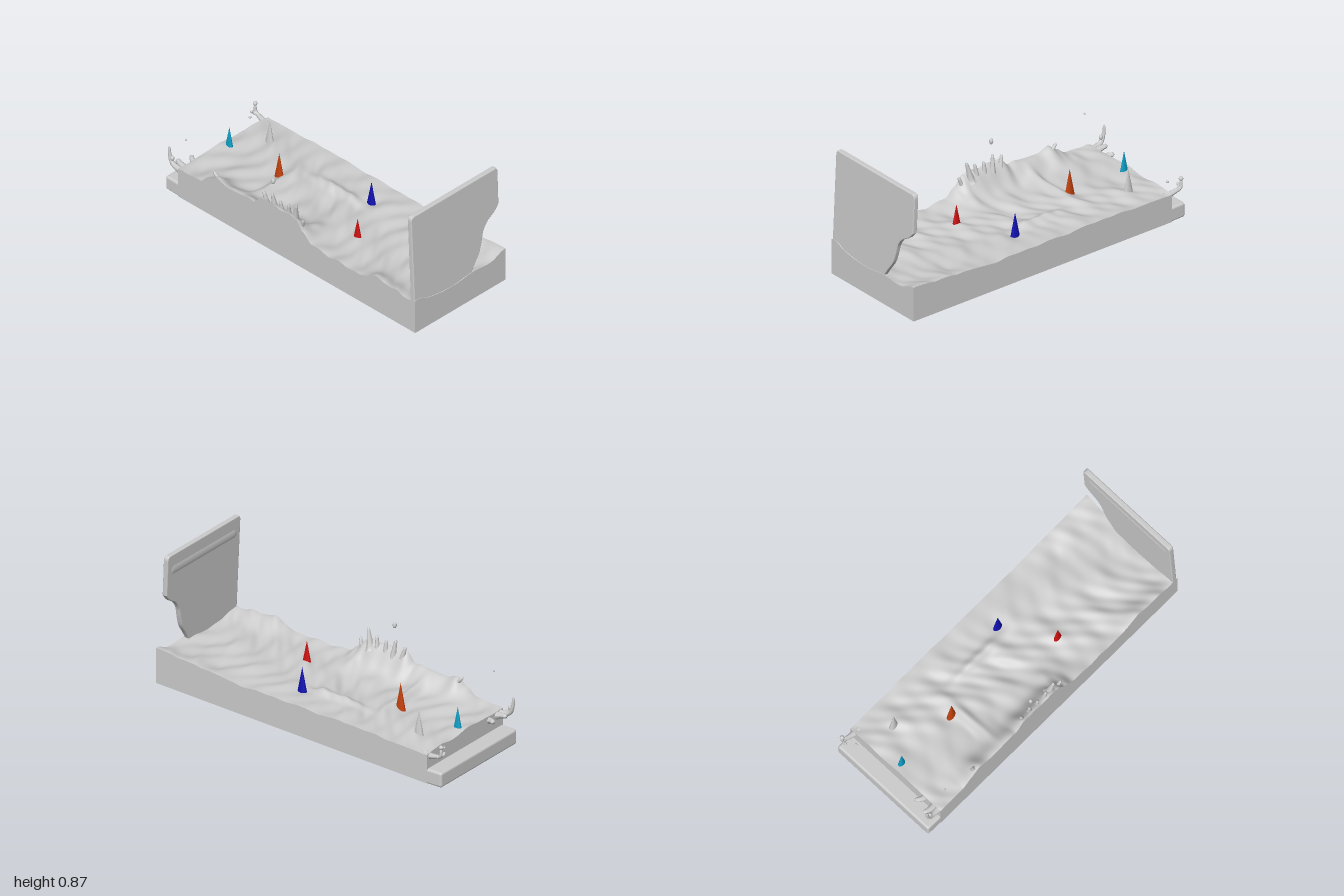
import * as THREE from 'three';
import { RoundedBoxGeometry } from 'three/addons/geometries/RoundedBoxGeometry.js';

const grey = new THREE.MeshStandardMaterial({ color: 0xcccccc, side: THREE.DoubleSide });

// Edge height profiles along z: [z, y]
const leftEdge = [[-0.9, 0.2], [-0.72, 0.23], [-0.65, 0.27], [-0.58, 0.31], [-0.45, 0.29], [-0.3, 0.3],
  [-0.23, 0.37], [-0.1, 0.36], [0, 0.38], [0.04, 0.36], [0.1, 0.29], [0.17, 0.25], [0.4, 0.245],
  [0.55, 0.26], [0.7, 0.305], [0.85, 0.295], [1, 0.3]];
const rightEdge = [[-0.9, 0.195], [-0.2, 0.225], [0.4, 0.24], [0.65, 0.265], [0.9, 0.29], [1, 0.3]];

function sample(table, z) {
  for (let i = 1; i < table.length; i++) {
    const [z0, y0] = table[i - 1], [z1, y1] = table[i];
    if (z <= z1) return y0 + (y1 - y0) * THREE.MathUtils.smoothstep(z, z0, z1);
  }
  return table[table.length - 1][1];
}

const floorY = (z) => 0.045 + 0.035 * z;
const bump = (x, z, cx, cz, rx, rz) => Math.exp(-(((x - cx) / rx) ** 2) - ((z - cz) / rz) ** 2);

// Choppy water height: sloping sheet, raised side edges, warped ripples and swells
function waterY(x, z) {
  const base = 0.228 + 0.028 * z;
  const l = Math.exp(-(((x + 0.355) / 0.085) ** 2));
  const r = Math.exp(-(((x - 0.355) / 0.09) ** 2));
  const wx = x + 0.05 * Math.sin(7 * z + 1), wz = z + 0.05 * Math.sin(9 * x + 3 * z);
  const ripple = 0.006 * Math.sin(27 * wz + 5 * wx) + 0.004 * Math.sin(41 * wz - 13 * wx + 1.3)
    + 0.004 * Math.sin(19 * wx + 12 * wz) + 0.002 * Math.sin(60 * wz + 31 * wx);
  let y = base + ripple * (1 - 0.6 * r);
  y += (sample(leftEdge, z) - base) * l + (sample(rightEdge, z) - base) * r;
  y += 0.035 * bump(x, z, -0.22, 0.07, 0.07, 0.05);
  y += 0.035 * bump(x, z, -0.12, -0.4, 0.16, 0.03);
  y += 0.025 * bump(x, z, 0.13, -0.1, 0.03, 0.18);
  y -= 0.015 * bump(x, z, -0.02, -0.1, 0.1, 0.12);
  return y;
}

function add(group, name, geometry, material = grey) {
  const mesh = new THREE.Mesh(geometry, material);
  mesh.name = name;
  group.add(mesh);
  return mesh;
}

// Tapered strand of water along a curve with a rounded tip
function strand(points, r0, r1) {
  const curve = new THREE.CatmullRomCurve3(points.map((p) => new THREE.Vector3(...p)));
  const n = 14, m = 10;
  const geo = new THREE.TubeGeometry(curve, n, 1, m);
  const pos = geo.attributes.position;
  const v = new THREE.Vector3();
  for (let i = 0; i <= n; i++) {
    const t = i / n, c = curve.getPointAt(t);
    const r = (r0 + (r1 - r0) * Math.sqrt(t)) * (i === n ? 0.05 : 1);
    for (let j = 0; j <= m; j++) {
      const k = i * (m + 1) + j;
      v.fromBufferAttribute(pos, k).sub(c).multiplyScalar(r).add(c);
      pos.setXYZ(k, v.x, v.y, v.z);
    }
  }
  geo.computeVertexNormals();
  return geo;
}

export function createModel() {
  const model = new THREE.Group();

  // Water slab: a box whose top follows the waves and whose underside slopes
  const slab = new THREE.BoxGeometry(0.71, 1, 1.9, 72, 1, 170);
  slab.translate(0, 0, 0.05);
  const p = slab.attributes.position;
  for (let i = 0; i < p.count; i++) {
    const x = p.getX(i), z = p.getZ(i);
    p.setY(i, p.getY(i) > 0 ? waterY(x, z) : floorY(z));
  }
  slab.computeVertexNormals();
  add(model, 'waterSlab', slab);

  // Low step at the back
  const step = add(model, 'backStep', new RoundedBoxGeometry(0.71, 0.092, 0.16, 4, 0.014));
  step.position.set(0, 0.058, -0.92);

  // Thin front wall with a curved cutaway, leaning slightly back
  const s = new THREE.Shape();
  s.moveTo(-0.349, 0.2);
  s.lineTo(-0.349, 0.84);
  s.quadraticCurveTo(-0.349, 0.864, -0.33, 0.864);
  s.lineTo(0.3, 0.864);
  s.quadraticCurveTo(0.319, 0.864, 0.319, 0.84);
  s.lineTo(0.317, 0.625);
  s.splineThru([[0.285, 0.588], [0.228, 0.55], [0.193, 0.5], [0.175, 0.43], [0.155, 0.37],
    [0.115, 0.31], [0.088, 0.265], [0.08, 0.235], [0.09, 0.2]].map((q) => new THREE.Vector2(...q)));
  s.closePath();
  const wall = new THREE.ExtrudeGeometry(s, {
    depth: 0.02, bevelThickness: 0.006, bevelSize: 0.006, bevelSegments: 3, curveSegments: 10,
  });
  const w = wall.attributes.position;
  for (let i = 0; i < w.count; i++) w.setZ(i, w.getZ(i) + 0.973 - 0.046 * (w.getY(i) - 0.2));
  wall.computeVertexNormals();
  add(model, 'frontWall', wall);

  // Soft rib across the back of the wall
  const rib = add(model, 'wallRib', new THREE.CapsuleGeometry(0.04, 0.56, 6, 20).rotateZ(Math.PI / 2));
  rib.scale.set(1, 1, 0.4);
  rib.position.set(-0.015, 0.775, 0.953);

  // Cones running through the slab, wide at the underside: [name, x, z, base, top, colour]
  const cones = [
    ['redCone', -0.11, 0.29, 0.05, 0.37, 0xcc1010],
    ['blueCone', 0.18, 0.105, 0.046, 0.375, 0x1010b0],
    ['orangeCone', 0, -0.45, 0.026, 0.37, 0xc0400c],
    ['greyCone', 0.19, -0.72, 0.022, 0.355, 0xcccccc],
    ['cyanCone', 0, -0.85, 0, 0.338, 0x0c9cc4],
    ['greenCone', -0.27, 0.03, 0.043, 0.27, 0x10a010],
  ];
  for (const [name, x, z, base, top, color] of cones) {
    const cone = add(model, name, new THREE.ConeGeometry(1, top - base, 32),
      new THREE.MeshStandardMaterial({ color }));
    cone.scale.set(0.04, 1, 0.066);
    cone.position.set(x, (base + top) / 2, z);
  }

  // Splash crown on the left edge
  const splash = new THREE.Group();
  splash.name = 'splashCrown';
  model.add(splash);
  const fingers = [[0.015, 0.445, 0.022], [-0.04, 0.415, 0.02], [-0.1, 0.405, 0.022],
    [-0.16, 0.425, 0.02], [-0.22, 0.4, 0.022], [0.065, 0.37, 0.018], [-0.58, 0.325, 0.02]];
  for (const [z, y, r] of fingers) {
    const lean = (z + 0.1) * 0.12;
    add(splash, 'splashFinger', strand([[-0.32, y - 0.13, z - lean], [-0.327, y - 0.06, z],
      [-0.335, y, z + lean]], r * 1.5, 0.008));
  }

  // Curled spray at the two back corners, overhanging the step
  const spray = new THREE.Group();
  spray.name = 'cornerSpray';
  model.add(spray);
  const curls = [
    [[[-0.3, 0.17, -0.86], [-0.3, 0.19, -0.93], [-0.29, 0.2, -0.975]], 0.04, 0.012],
    [[[-0.23, 0.17, -0.87], [-0.22, 0.185, -0.92], [-0.2, 0.19, -0.95]], 0.03, 0.012],
    [[[-0.33, 0.18, -0.88], [-0.335, 0.2, -0.96], [-0.335, 0.25, -0.985], [-0.335, 0.31, -0.99]], 0.028, 0.007],
    [[[0.32, 0.17, -0.87], [0.33, 0.185, -0.94], [0.335, 0.2, -0.98], [0.335, 0.25, -0.985]], 0.028, 0.007],
    [[[0.335, 0.19, -0.96], [0.32, 0.2, -0.985], [0.3, 0.215, -0.985]], 0.015, 0.007],
  ];
  for (const [pts, r0, r1] of curls) add(spray, 'sprayCurl', strand(pts, r0, r1));

  // Loose drops: [x, y, z, radius, stretch]
  const drops = [[-0.335, 0.512, -0.157, 0.012, 1.6], [-0.34, 0.43, -0.85, 0.006, 1],
    [0.335, 0.255, -0.985, 0.013, 1], [0.26, 0.215, -0.95, 0.008, 1], [-0.335, 0.235, -0.965, 0.012, 1.3]];
  for (const [x, y, z, r, k] of drops) {
    const drop = add(model, 'waterDrop', new THREE.SphereGeometry(r, 14, 10));
    drop.scale.y = k;
    drop.position.set(x, y, z);
  }

  return model;
}
